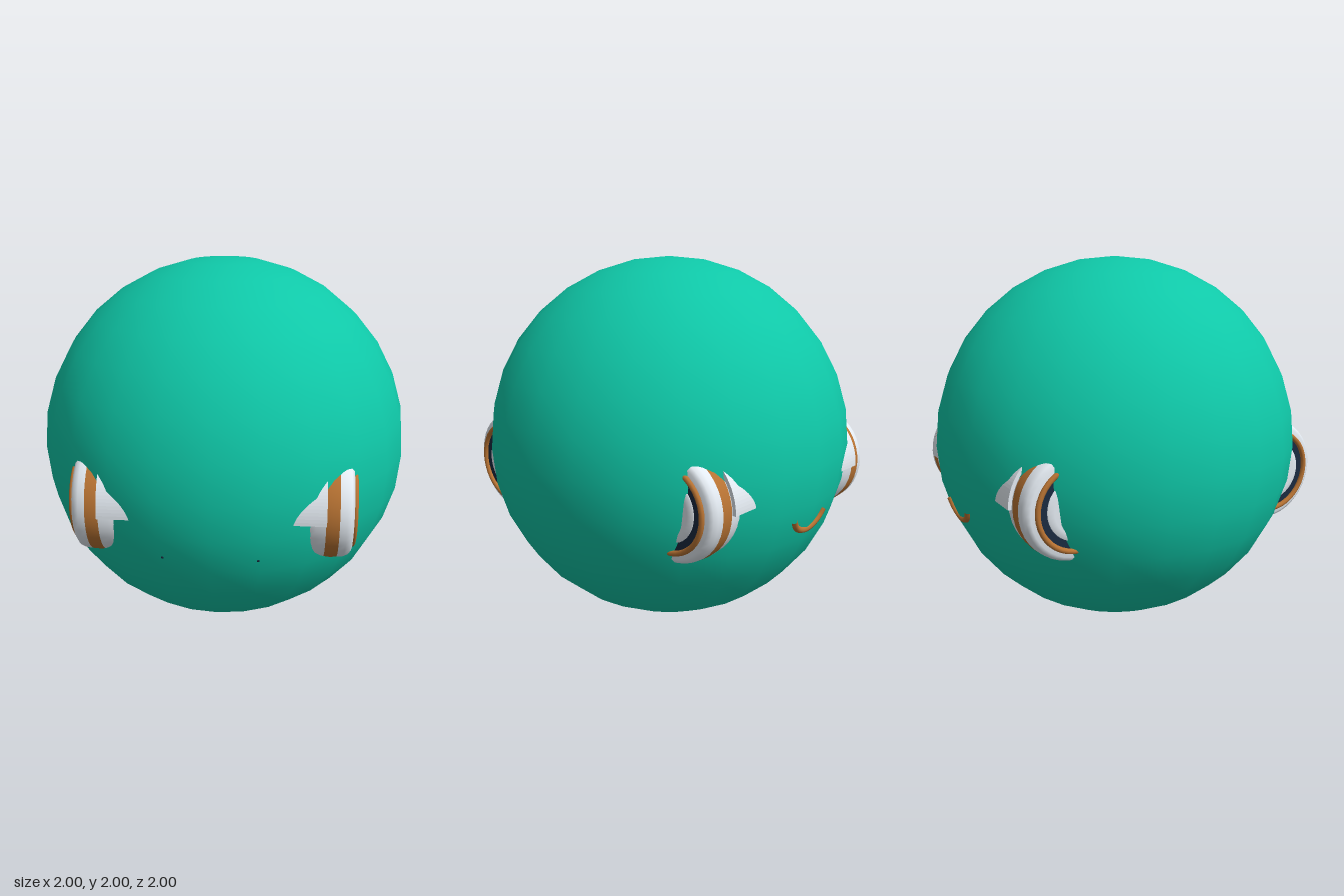
import * as THREE from 'three';

const mat = (color, side = THREE.FrontSide) => new THREE.MeshStandardMaterial({ color, side });
const teal = mat(0x0fc8a8);
const copper = mat(0xb87333);
const white = mat(0xe4ebf2, THREE.DoubleSide);
const navy = mat(0x1b2a40);

function add(parent, name, geometry, material) {
  const mesh = new THREE.Mesh(geometry, material);
  mesh.name = name;
  parent.add(mesh);
  return mesh;
}

// Turned part along the wheel axle; points are [radius, distance from the middle]
function turned(parent, name, points, material) {
  const profile = points.map(([r, d]) => new THREE.Vector2(r, d));
  return add(parent, name, new THREE.LatheGeometry(profile, 40), material);
}

function makeWheel(sx, sz) {
  const wheel = new THREE.Group();
  wheel.name = (sz > 0 ? 'front' : 'back') + (sx > 0 ? 'Left' : 'Right') + 'Wheel';
  wheel.position.set(0, 0.87, sz * 0.597);

  // Banded drum with its axle pointing outwards
  const drum = new THREE.Group();
  drum.name = 'drum';
  drum.rotation.z = -sx * Math.PI / 2;
  wheel.add(drum);
  turned(drum, 'innerBand', [[0, 0.42], [0.24, 0.42], [0.262, 0.46], [0.273, 0.5], [0.277, 0.548]], white);
  turned(drum, 'middleBand', [[0.277, 0.548], [0.279, 0.58], [0.277, 0.612]], copper);
  turned(drum, 'outerBand', [[0.277, 0.612], [0.274, 0.645], [0.264, 0.668], [0.245, 0.682], [0.2, 0.684]], white);
  turned(drum, 'darkFace', [[0.215, 0.684], [0.14, 0.684], [0, 0.684]], navy);
  turned(drum, 'hub', [[0.165, 0.68], [0.16, 0.69], [0.13, 0.695], [0, 0.695]], white);
  const rim = add(drum, 'rim', new THREE.TorusGeometry(0.212, 0.014, 10, 40), copper);
  rim.rotation.x = Math.PI / 2;
  rim.position.y = 0.688;

  // Quarter fender over the outward upper side of the drum
  const start = sz > 0 ? Math.PI : 0;
  const end = Math.PI / 2;
  const arc = new THREE.Shape();
  arc.absarc(0, 0, 0.3, start, end, sz > 0);
  arc.absarc(0, 0, 0.281, end, start, sz < 0);
  arc.closePath();
  const fender = add(wheel, 'fender', new THREE.ExtrudeGeometry(arc, {
    depth: 0.2, bevelEnabled: false, curveSegments: 14,
  }), white);
  fender.rotation.y = Math.PI / 2;
  fender.position.x = sx > 0 ? 0.35 : -0.55;
  return wheel;
}

// Point on the ball at the given x and y, on the front or back
function onBall(x, y, sz, radius) {
  return new THREE.Vector3(x, y, sz * Math.sqrt(radius * radius - x * x - (y - 1) ** 2));
}

export function createModel() {
  const model = new THREE.Group();
  model.name = 'ballVehicle';

  const ball = add(model, 'ball', new THREE.SphereGeometry(1, 24, 16), teal);
  ball.position.y = 1;

  for (const sx of [1, -1]) {
    for (const sz of [1, -1]) model.add(makeWheel(sx, sz));
    // Small dark studs just breaking the front surface
    const stud = add(model, 'frontStud', new THREE.SphereGeometry(0.012, 8, 6), navy);
    stud.position.copy(onBall(sx * 0.23, 0.69, 1, 0.985));
  }

  // Curved handle low on the back, following the ball
  const points = [];
  for (let i = 0; i <= 8; i++) {
    const a = Math.PI * (1.1 + 0.8 * i / 8);
    points.push(onBall(0.14 * Math.cos(a), 0.78 + 0.115 * Math.sin(a), -1, 0.988));
  }
  const handle = new THREE.CatmullRomCurve3(points);
  add(model, 'backHandle', new THREE.TubeGeometry(handle, 24, 0.018, 8), copper);

  return model;
}
